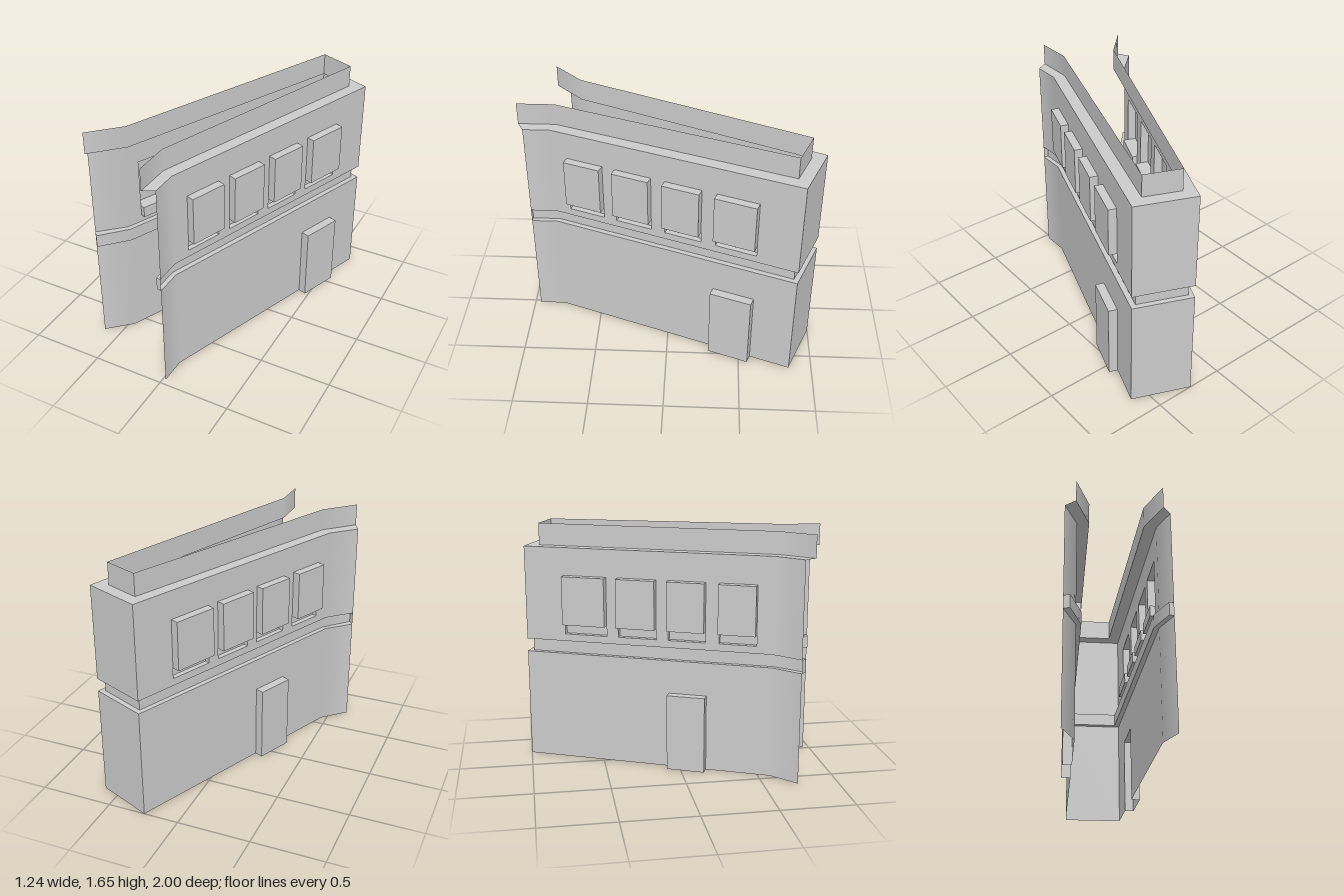
import * as THREE from 'three';

const material = new THREE.MeshStandardMaterial({ color: 0xcccccc, side: THREE.DoubleSide });

// Plan outlines [x, z], from the front right end round the back to the front left end
const outer = [[0.02, 0.96], [0.02, 0.78], [0.615, -0.845], [0.24, -1], [-0.46, 0.58], [-0.62, 0.73]];
const parapetLine = [[-0.055, 1], [-0.055, 0.75], [0.51, -0.8], [0.28, -0.895], [-0.392, 0.62], [-0.58, 0.81]];
const bandLine = outer.map(([x, z], i) => [x + (parapetLine[i][0] - x) * 0.42, z + (parapetLine[i][1] - z) * 0.42]);
bandLine[0] = [-0.012, 0.955];
bandLine[5] = [-0.59, 0.765];

// z ranges of the openings along the two long walls
const rightWindows = [[0.675, 0.435], [0.35, 0.11], [0.02, -0.22], [-0.315, -0.58]];
const leftWindows = [[0.48, 0.25], [0.165, -0.07], [-0.145, -0.39], [-0.465, -0.74]];
const rightDoor = [-0.31, -0.58];
const leftDoor = [0.174, -0.065];
const windowBottom = 0.9, paneBottom = 0.975, windowTop = 1.31, doorTop = 0.53;

function addMesh(parent, geometry, name) {
  const mesh = new THREE.Mesh(geometry, material);
  mesh.name = name;
  parent.add(mesh);
  return mesh;
}

const along = (a, b) => new THREE.Vector3(b[0] - a[0], 0, b[1] - a[1]).normalize();
const outward = (a, b) => along(a, b).cross(new THREE.Vector3(0, 1, 0));

// Group whose x runs along the wall from a to b and whose z points outwards
function wallFrame(a, b, name) {
  const group = new THREE.Group();
  group.name = name;
  const m = new THREE.Matrix4().makeBasis(along(a, b), new THREE.Vector3(0, 1, 0), outward(a, b));
  group.applyMatrix4(m.setPosition(a[0], 0, a[1]));
  return group;
}

// Flat wall panel; openings that reach the floor are notches, the others are holes
function panel(length, y0, y1, openings = []) {
  const outline = [[0, y0]];
  const holes = [];
  for (const [s0, s1, bottom, top] of openings) {
    if (bottom <= y0) outline.push([s0, y0], [s0, top], [s1, top], [s1, y0]);
    else holes.push([[s0, bottom], [s0, top], [s1, top], [s1, bottom]]);
  }
  outline.push([length, y0], [length, y1], [0, y1]);
  const points = list => list.map(p => new THREE.Vector2(...p));
  const shape = new THREE.Shape(points(outline));
  shape.holes = holes.map(h => new THREE.Path(points(h)));
  return new THREE.ShapeGeometry(shape);
}

// Open box pushed out of the wall (depth > 0) or into it (depth < 0)
function pocket(s0, s1, y0, y1, depth, floor) {
  const g = new THREE.BoxGeometry(s1 - s0, y1 - y0, Math.abs(depth));
  g.translate((s0 + s1) / 2, (y0 + y1) / 2, depth / 2);
  const faces = [0, 1, 2, ...(floor ? [3] : []), depth > 0 ? 4 : 5];
  const index = faces.flatMap(f => Array.from(g.index.array.slice(f * 6, f * 6 + 6)));
  if (depth < 0) {
    index.reverse();
    g.attributes.normal.array.forEach((v, i, array) => { array[i] = -v; });
  }
  g.setIndex(index);
  g.clearGroups();
  return g;
}

// Run of walls along an outline; the short front pieces shade smoothly into the long walls
function wallRun(path, y0, y1, name, openingsFor = () => []) {
  const run = new THREE.Group();
  run.name = name;
  for (let i = 0; i < path.length - 1; i++) {
    const a = path[i], b = path[i + 1];
    const frame = wallFrame(a, b, name + 'Side');
    const length = Math.hypot(b[0] - a[0], b[1] - a[1]);
    const toS = z => (z - a[1]) / along(a, b).z;
    const openings = openingsFor(i).map(([z0, z1, ...ys]) => [...[toS(z0), toS(z1)].sort((p, q) => p - q), ...ys]);
    const g = panel(length, y0, y1, openings);

    const last = path.length - 2;
    if (i === 0 || i === last) {
      const k = i === 0 ? 1 : last - 1;
      const n = outward(path[k], path[k + 1]);
      const nx = n.dot(along(a, b)), nz = n.dot(outward(a, b));
      const p = g.attributes.position;
      for (let v = 0; v < p.count; v++) {
        if ((p.getX(v) > length / 2) === (i === 0)) g.attributes.normal.setXYZ(v, nx, 0, nz);
      }
    }
    addMesh(frame, g, name + 'Panel');

    for (const [s0, s1, bottom, top] of openings) {
      if (bottom <= y0) {
        addMesh(frame, pocket(s0, s1, bottom, top, 0.06, false), 'door');
      } else {
        addMesh(frame, pocket(s0, s1, paneBottom, top, 0.055, true), 'windowPane');
        addMesh(frame, pocket(s0, s1, bottom, paneBottom, -0.035, true), 'windowSillRecess');
      }
    }
    run.add(frame);
  }
  return run;
}

// Level strip between two outlines, facing up when the first one is the outer one
function ledge(first, second, y) {
  const positions = [];
  for (let i = 0; i < first.length - 1; i++) {
    const [a, b, c, d] = [first[i], first[i + 1], second[i + 1], second[i]];
    for (const p of [a, b, c, a, c, d]) positions.push(p[0], y, p[1]);
  }
  const g = new THREE.BufferGeometry();
  g.setAttribute('position', new THREE.Float32BufferAttribute(positions, 3));
  g.computeVertexNormals();
  return g;
}

export function createModel() {
  const model = new THREE.Group();
  model.name = 'building';

  // Ground floor with a door in each long wall
  const doors = { 1: [[...rightDoor, 0, doorTop]], 3: [[...leftDoor, 0, doorTop]] };
  model.add(wallRun(outer, 0, 0.76, 'groundFloorWall', i => doors[i] || []));

  // Recessed band between the floors, closed at its two front ends
  model.add(wallRun(bandLine, 0.76, 0.85, 'recessedBand'));
  addMesh(model, ledge(outer, bandLine, 0.76), 'bandLowerLedge');
  addMesh(model, ledge(bandLine, outer, 0.85), 'bandUpperLedge');
  for (const [a, b] of [[bandLine[0], outer[0]], [outer[5], bandLine[5]]]) {
    const end = wallFrame(a, b, 'bandEnd');
    addMesh(end, panel(Math.hypot(b[0] - a[0], b[1] - a[1]), 0.76, 0.85), 'bandEndCap');
    model.add(end);
  }

  // Upper floor with a row of windows in each long wall
  const windows = { 1: rightWindows, 3: leftWindows };
  model.add(wallRun(outer, 0.85, 1.5, 'upperFloorWall',
    i => (windows[i] || []).map(w => [...w, windowBottom, windowTop])));

  // Roof ledge and parapet
  addMesh(model, ledge(outer, parapetLine, 1.5), 'roofLedge');
  model.add(wallRun(parapetLine, 1.5, 1.65, 'parapet'));

  return model;
}
